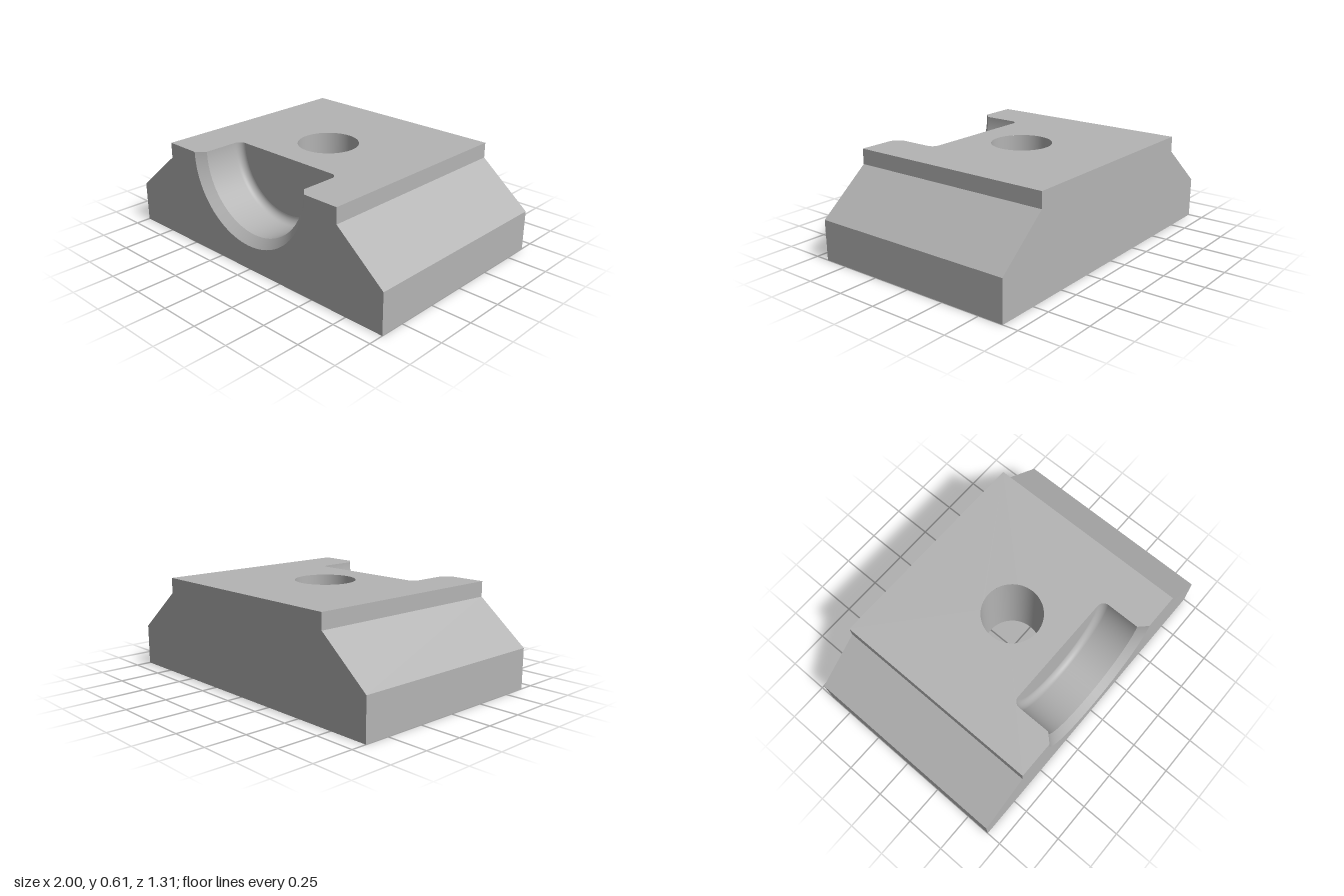
import * as THREE from 'three';

const D = 0.656;        // half depth
const H = 0.606;        // height
const HOLE_R = 0.185;
const SEGS = 64;

// pocket radius against z, from the front rim to the floor
const RIM = [[0.455, D], [0.405, 0.605]];
const FILLET = 0.045, FLOOR_Z = 0.35, POCKET_R = 0.405;
const WALL = [[POCKET_R, 0.605]];
for (let i = 0; i <= 10; i++) {
  const a = (i / 10) * Math.PI / 2;
  WALL.push([
    POCKET_R - FILLET + FILLET * Math.cos(a),
    FLOOR_Z + FILLET - FILLET * Math.sin(a),
  ]);
}
const FLOOR = [WALL[WALL.length - 1], [0, FLOOR_Z]];

const vectors = (pts) => pts.map(([x, y]) => new THREE.Vector2(x, y));

// right-hand outline of the block, bottom to top
const SIDE = [[1, 0], [1, 0.25], [0.684, 0.511], [0.684, H]];
const mirror = (pts) => pts.map(([x, y]) => [-x, y]).reverse();

// flat strips running front to back along an outline
function strips(points) {
  const pos = [];
  for (let i = 0; i < points.length - 1; i++) {
    const [ax, ay] = points[i], [bx, by] = points[i + 1];
    pos.push(ax, ay, D, ax, ay, -D, bx, by, -D);
    pos.push(ax, ay, D, bx, by, -D, bx, by, D);
  }
  const g = new THREE.BufferGeometry();
  g.setAttribute('position', new THREE.Float32BufferAttribute(pos, 3));
  g.computeVertexNormals();
  return g;
}

// lower half of a surface of revolution about the pocket axis, facing inward
function halfRevolve(points) {
  return new THREE.LatheGeometry(vectors(points), SEGS, -Math.PI / 2, Math.PI)
    .rotateX(Math.PI / 2).translate(0, H, 0);
}

function withHole(shape) {
  shape.holes.push(new THREE.Path().absarc(0, 0, HOLE_R, 0, Math.PI * 2, true));
  return shape;
}

export function createModel() {
  const model = new THREE.Group();
  model.name = 'clampBlock';
  const grey = new THREE.MeshStandardMaterial({ color: 0xb4b4b4 });
  grey.name = 'plain grey';
  const add = (name, geometry) => {
    const mesh = new THREE.Mesh(geometry, grey);
    mesh.name = name;
    model.add(mesh);
  };

  // front face, notched by the half-round pocket
  const front = new THREE.Shape(vectors([...SIDE, [RIM[0][0], H]]));
  front.absarc(0, H, RIM[0][0], 0, -Math.PI, true);
  mirror(SIDE).forEach(([x, y]) => front.lineTo(x, y));
  add('frontFace', new THREE.ShapeGeometry(front, SEGS / 2).translate(0, 0, D));

  // plain back face
  const back = new THREE.Shape(vectors([...SIDE, ...mirror(SIDE)]));
  add('backFace', new THREE.ShapeGeometry(back).rotateY(Math.PI).translate(0, 0, -D));

  // stepped and sloped sides
  add('leftSide', strips(SIDE));
  add('rightSide', strips(mirror(SIDE)));

  // top face with the bolt hole and the pocket opening
  const topX = SIDE[3][0];
  const opening = [...RIM, ...WALL.slice(1)];
  const outline = [
    [-topX, D], ...mirror(opening).reverse(), ...opening.slice().reverse(),
    [topX, D], [topX, -D], [-topX, -D],
  ].map(([x, z]) => [x, -z]);
  const top = withHole(new THREE.Shape(vectors(outline)));
  add('topFace', new THREE.ShapeGeometry(top, SEGS).rotateX(-Math.PI / 2).translate(0, H, 0));

  // underside with the bolt hole
  const base = withHole(new THREE.Shape(vectors([[-1, -D], [1, -D], [1, D], [-1, D]])));
  add('underside', new THREE.ShapeGeometry(base, SEGS).rotateX(Math.PI / 2));

  // bolt hole wall, facing inward
  add('boltHole', new THREE.LatheGeometry(vectors([[HOLE_R, H], [HOLE_R, 0]]), SEGS));

  // half-round pocket: chamfered rim, filleted wall, flat floor
  add('pocketChamfer', halfRevolve(RIM));
  add('pocketWall', halfRevolve(WALL));
  add('pocketFloor', halfRevolve(FLOOR));

  return model;
}
